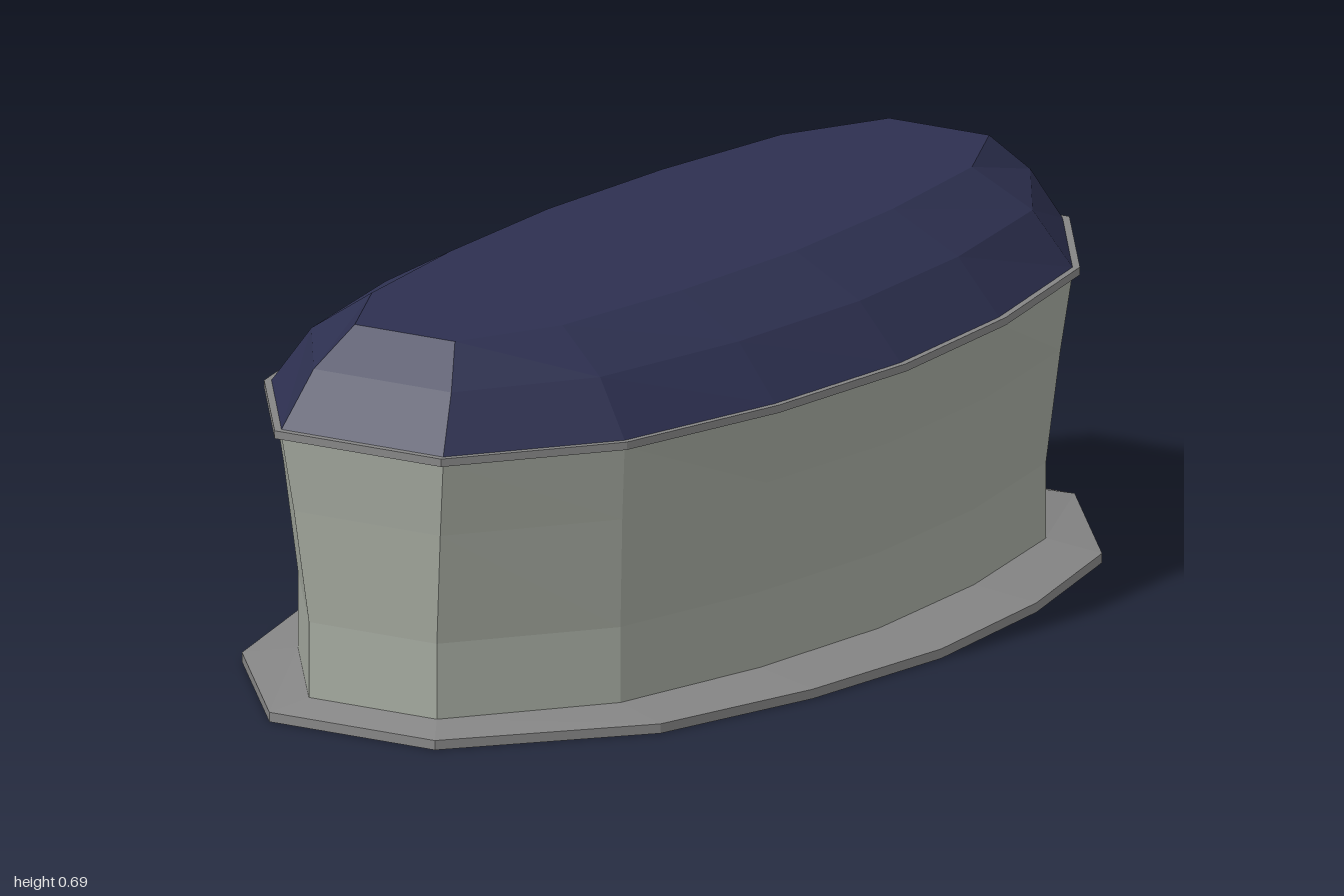
import * as THREE from 'three';

// Faceted 14-sided outline from one quarter: [x, z] from the side (z = 0) to the end.
function outline(quarter) {
  const toEnd = quarter;
  const back = quarter.slice(1).reverse();
  return [
    ...toEnd,
    ...back.map(([x, z]) => [-x, z]),
    [-quarter[0][0], 0],
    ...quarter.slice(1).map(([x, z]) => [-x, -z]),
    ...back.map(([x, z]) => [x, -z]),
  ];
}

// Skin a stack of rings [y, quarter outline]; optionally cap the last one.
function loft(rings, cap) {
  const pos = [];
  const loops = rings.map(([y, q]) => outline(q).map(([x, z]) => [x, y, z]));
  const n = loops[0].length;
  for (let r = 0; r < loops.length - 1; r++) {
    for (let i = 0; i < n; i++) {
      const k = (i + 1) % n;
      const a = loops[r][i], b = loops[r][k], c = loops[r + 1][k], d = loops[r + 1][i];
      pos.push(...a, ...d, ...c, ...a, ...c, ...b);
    }
  }
  if (cap) {
    const top = loops[loops.length - 1];
    for (let i = 0; i < n; i++) pos.push(0, top[0][1], 0, ...top[(i + 1) % n], ...top[i]);
  }
  const geo = new THREE.BufferGeometry();
  geo.setAttribute('position', new THREE.Float32BufferAttribute(pos, 3));
  geo.computeVertexNormals();
  return geo;
}

// Quarter outlines
const FLANGE = [[0.56, 0], [0.525, 0.35], [0.435, 0.69], [0.172, 1]];
const FOOT = [[0.43, 0], [0.405, 0.335], [0.335, 0.665], [0.133, 0.935]];
const WAIST = [[0.453, 0], [0.425, 0.343], [0.352, 0.685], [0.152, 0.953]];
const RIM = [[0.475, 0], [0.447, 0.35], [0.367, 0.7], [0.168, 0.968]];
const BAND = [[0.487, 0], [0.458, 0.355], [0.377, 0.708], [0.173, 0.982]];
const SHOULDER = [[0.39, 0], [0.367, 0.343], [0.3, 0.676], [0.143, 0.905]];
const CROWN = [[0.257, 0], [0.24, 0.33], [0.198, 0.64], [0.104, 0.835]];

export function createModel() {
  const group = new THREE.Group();
  const add = (name, color, rings, cap = false) => {
    const material = new THREE.MeshStandardMaterial({ color, flatShading: true, side: THREE.DoubleSide });
    const mesh = new THREE.Mesh(loft(rings, cap), material);
    mesh.name = name;
    group.add(mesh);
  };

  // Flat foot flange with a gently sloping top, open in the middle
  add('baseFlange', 0x858585, [[0, FOOT], [0, FLANGE], [0.017, FLANGE], [0.035, FOOT], [0, FOOT]]);
  // Thin wall that flares outward toward the rim
  add('wall', 0xa3a89e, [[0.035, FOOT], [0.17, FOOT], [0.37, WAIST], [0.505, RIM]]);
  // Narrow band where the wall meets the dome
  add('rimBand', 0x858585, [[0.503, RIM], [0.503, BAND], [0.517, BAND], [0.517, RIM], [0.503, RIM]]);
  // Hollow faceted dome with a flat crown
  add('domeRoof', 0x2d3050, [[0.517, RIM], [0.615, SHOULDER], [0.685, CROWN]], true);

  return group;
}
